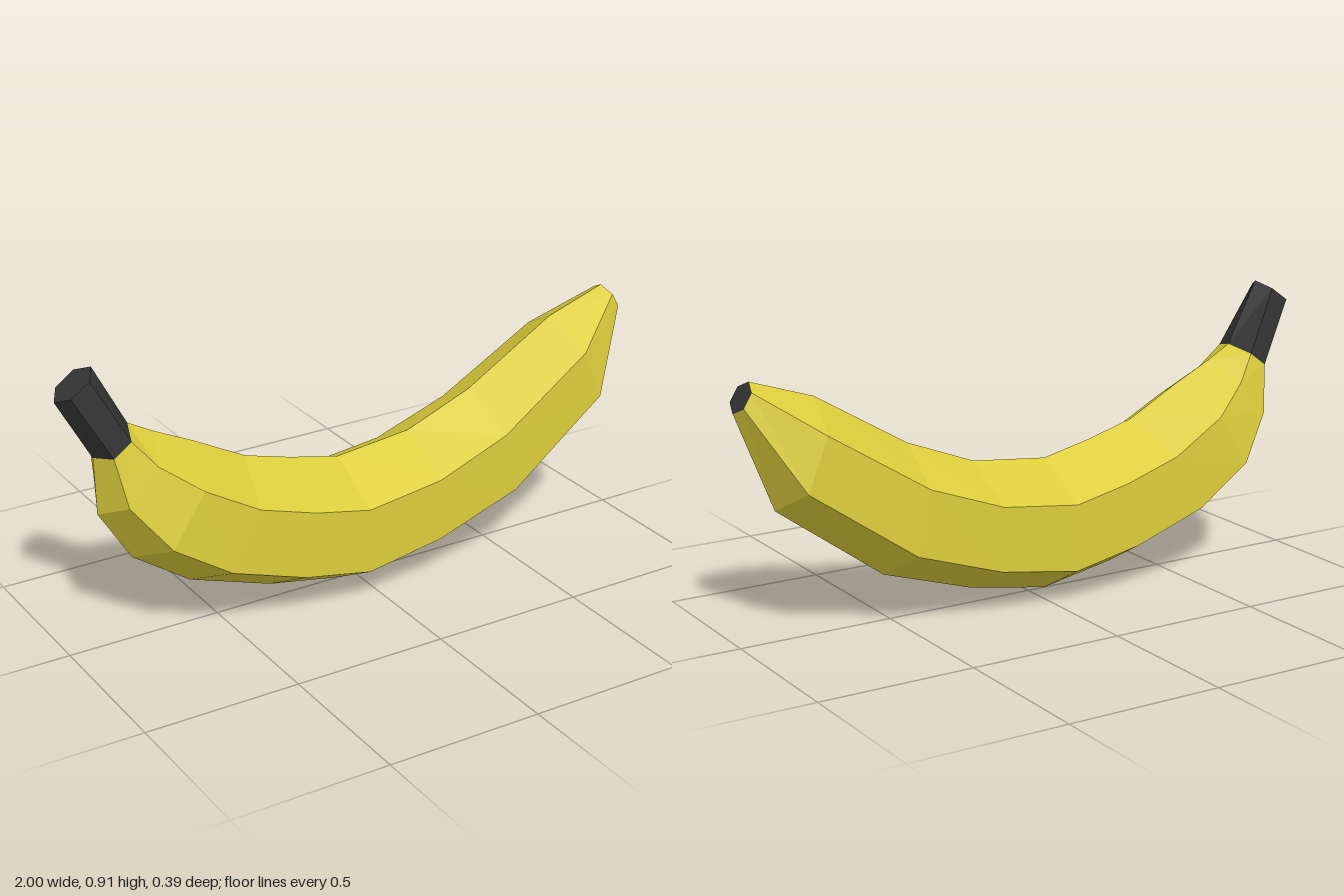
import * as THREE from 'three';

// Cross-sections: [top x, top y, bottom x, bottom y, half width in z]
const STEM = [
  [-0.88, 0.915, -1.0, 0.83, 0.053],
  [-0.775, 0.715, -0.89, 0.63, 0.085],
];
const PEEL = [
  STEM[1],
  [-0.69, 0.668, -0.885, 0.445, 0.12],
  [-0.565, 0.608, -0.78, 0.275, 0.175],
  [-0.39, 0.515, -0.59, 0.145, 0.187],
  [-0.23, 0.47, -0.31, 0.05, 0.193],
  [-0.06, 0.432, -0.06, 0.003, 0.193],
  [0.2, 0.46, 0.21, 0.05, 0.188],
  [0.43, 0.55, 0.52, 0.148, 0.182],
  [0.74, 0.735, 0.875, 0.405, 0.157],
  [0.945, 0.803, 0.998, 0.715, 0.047],
];

// Six corners: a ridge on top and below, two ridges on each side
const CORNERS = [[0, 0], [0.25, 1], [0.75, 1], [1, 0], [0.75, -1], [0.25, -1]];
const ring = ([tx, ty, bx, by, w]) =>
  CORNERS.map(([t, s]) => [tx + (bx - tx) * t, ty + (by - ty) * t, s * w]);

function toGeometry(triangles) {
  const g = new THREE.BufferGeometry();
  g.setAttribute('position', new THREE.Float32BufferAttribute(triangles.flat(2), 3));
  g.computeVertexNormals();
  return g;
}

// Skin joining successive hexagonal sections
function loft(sections) {
  const rings = sections.map(ring), tris = [];
  for (let i = 0; i < rings.length - 1; i++) {
    for (let j = 0; j < 6; j++) {
      const k = (j + 1) % 6;
      const a = rings[i][j], b = rings[i + 1][j], c = rings[i + 1][k], d = rings[i][k];
      tris.push([a, d, c], [a, c, b]);
    }
  }
  return toGeometry(tris);
}

// Flat hexagonal end
function cap(section, atStart) {
  const r = ring(section), tris = [];
  for (let j = 1; j < 5; j++) tris.push(atStart ? [r[0], r[j + 1], r[j]] : [r[0], r[j], r[j + 1]]);
  return toGeometry(tris);
}

export function createModel() {
  const yellow = new THREE.MeshStandardMaterial({ color: 0xdccd3c });
  yellow.name = 'peelYellow';
  const dark = new THREE.MeshStandardMaterial({ color: 0x333333 });
  dark.name = 'stemCharcoal';
  yellow.flatShading = dark.flatShading = true;

  const group = new THREE.Group();
  group.name = 'banana';
  const add = (name, geometry, material) => {
    const mesh = new THREE.Mesh(geometry, material);
    mesh.name = name;
    group.add(mesh);
  };

  add('peel', loft(PEEL), yellow);
  add('stem', loft(STEM), dark);
  add('stemEnd', cap(STEM[0], true), dark);
  add('blossomTip', cap(PEEL[PEEL.length - 1], false), dark);
  return group;
}
